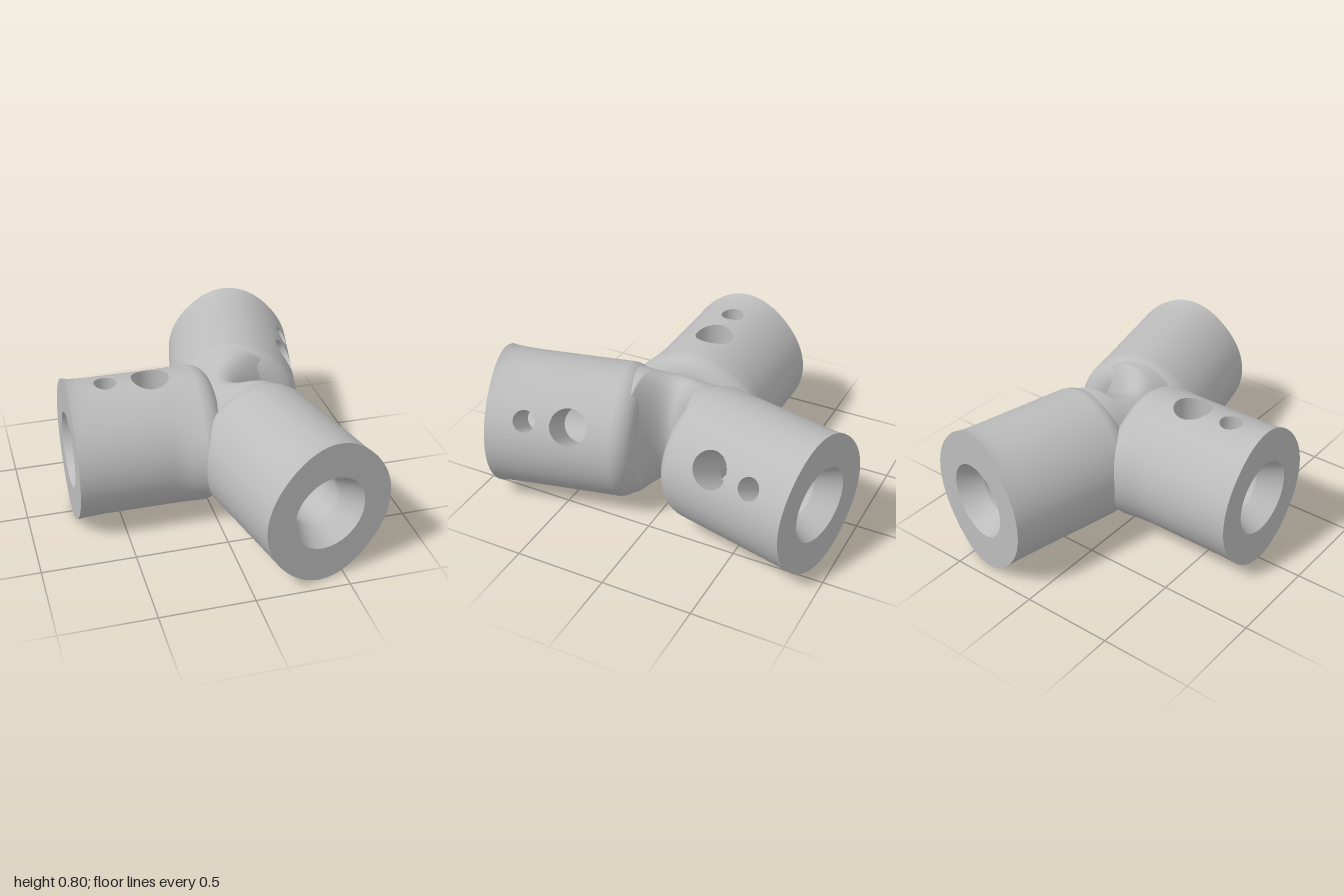
import * as THREE from 'three';
import { mergeGeometries, toCreasedNormals } from 'three/addons/utils/BufferGeometryUtils.js';
import { ParametricGeometry } from 'three/addons/geometries/ParametricGeometry.js';

const LENGTH = 0.79;      // arm length
const ROUND = 0.11;       // rounding of the inner end
const BAND = 0.42;        // half angle of the wall strip that holds the holes
const MID_Y = 0.39;       // height of the arm axes
const BORE = 0.14;

// Cross holes: distance from the mouth, radius, half length of the wall patch
const HOLES = [
  { name: 'smallCrossHole', at: 0.215, r: 0.06, half: 0.09 },
  { name: 'largeCrossHole', at: 0.455, r: 0.1, half: 0.15 },
];

const lerp = THREE.MathUtils.lerp;
const smooth = THREE.MathUtils.smoothstep;

function surface(fn, nu, nv) {
  return new ParametricGeometry(fn, nu, nv);
}

// Arm radius: nearly round, with a soft ridge above and below and a lip at the mouth
function radius(s, a, flare) {
  const ridge = (0.017 + 0.022 * Math.exp(-Math.max(s, 0) / 0.05)) * Math.pow(Math.sin(a), 6);
  const widen = flare * smooth(s, 0.5, 0.78) * Math.pow(Math.cos(a), 4);
  return 0.362 + ridge + widen;
}

// Local arm frame: mouth at z = 0, arm running towards -z
function polar(target, r, a, s) {
  return target.set(r * Math.cos(a), r * Math.sin(a), -s);
}

function createArm(name, material, holeAngle, flare) {
  const arm = new THREE.Group();
  arm.name = name;
  const add = (part, geometry) => {
    const mesh = new THREE.Mesh(geometry, material);
    mesh.name = part;
    arm.add(mesh);
  };
  const wall = (s, a, target) => polar(target, radius(s, a, flare), a, s);
  const straight = LENGTH - ROUND;

  // Rectangle of wall between two distances and two angles
  const strip = (s0, s1, a0, a1, ns, na) =>
    surface((u, v, t) => wall(lerp(s0, s1, u), lerp(a0, a1, v), t), ns, na);

  const [small, large] = HOLES;
  const lo = holeAngle - BAND, hi = holeAngle + BAND;
  const pieces = [
    strip(0, straight, hi, lo + Math.PI * 2, 24, 60),
    strip(0, small.at - small.half, lo, hi, 6, 16),
    strip(large.at + large.half, straight, lo, hi, 4, 16),
  ];

  // Wall patch around each hole: a circle spreading out to a rectangle
  for (const h of HOLES) {
    const spread = r => Math.asin(r / 0.365);
    pieces.push(surface((u, v, t) => {
      const c = Math.cos(v * Math.PI * 2), d = Math.sin(v * Math.PI * 2);
      const m = Math.max(Math.abs(c), Math.abs(d));
      const s = lerp(h.r * c, h.half * c / m, u);
      const a = lerp(spread(h.r * d), BAND * d / m, u);
      wall(h.at + s, holeAngle + a, t);
    }, 8, 64));
  }

  // Rounded inner end and its flat cap
  const endRadius = (a, turn) => radius(straight, a, flare) - ROUND * (1 - Math.cos(turn));
  pieces.push(surface((u, v, t) => {
    const turn = u * Math.PI / 2, a = v * Math.PI * 2;
    polar(t, endRadius(a, turn), a, straight + ROUND * Math.sin(turn));
  }, 10, 72));
  pieces.push(surface((u, v, t) => {
    const a = v * Math.PI * 2;
    polar(t, endRadius(a, Math.PI / 2) * (1 - 0.999 * u), a, LENGTH);
  }, 4, 72));
  add('armWall', mergeGeometries(pieces));

  // Flat ring around the mouth
  add('mouthFace', surface((u, v, t) => {
    const a = v * Math.PI * 2;
    polar(t, lerp(0.205, radius(0, a, flare), u), a, 0);
  }, 2, 72));

  // Countersunk bore, facing inwards
  const profile = [[0.205, 0], [BORE, -0.13], [BORE, -0.62], [0.001, -0.62]];
  const bore = new THREE.LatheGeometry(profile.map(p => new THREE.Vector2(...p)), 48);
  bore.rotateX(Math.PI / 2);
  add('bore', toCreasedNormals(bore, 0.4));

  // Straight tubes joining the wall to the bore
  const normal = new THREE.Vector2(Math.cos(holeAngle), Math.sin(holeAngle));
  for (const h of HOLES) {
    const floor = Math.sqrt(BORE * BORE - h.r * h.r);
    add(h.name, surface((u, v, t) => {
      const s = h.at + h.r * Math.cos(v * Math.PI * 2);
      const side = h.r * Math.sin(v * Math.PI * 2);
      const a = holeAngle + Math.asin(side / 0.365);
      const top = radius(s, a, flare);
      // outer rim lies on the wall, inner rim at the bore
      const depth = lerp(floor, top * Math.cos(a - holeAngle), u);
      const across = lerp(side, top * Math.sin(a - holeAngle), u);
      t.set(normal.x * depth - normal.y * across, normal.y * depth + normal.x * across, -s);
    }, 4, 64));
  }
  return arm;
}

// Saddle-shaped neck that joins the three inner ends
function createHub(material) {
  const geometry = surface((u, v, t) => {
    const z = lerp(0.24, -0.24, u), a = v * Math.PI * 2;
    const q = Math.min(Math.abs(z) / 0.14, 1.1) ** 2;
    const back = -0.06, front = 0.25 + 0.22 * q;
    const half = (front - back) / 2;
    t.set(back + half + half * Math.cos(a), MID_Y + (0.31 + 0.045 * q) * Math.sin(a), z);
  }, 48, 64);
  const hub = new THREE.Mesh(geometry, material);
  hub.name = 'hub';
  return hub;
}

export function createModel() {
  const model = new THREE.Group();
  model.name = 'threeWayConnector';
  const grey = new THREE.MeshStandardMaterial({ color: 0xbcbcbc });
  grey.name = 'grey';

  // Side arm, with its holes on top
  const sideArm = createArm('sideArm', grey, Math.PI / 2, 0.07);
  sideArm.position.set(-0.75, MID_Y, 0);
  sideArm.rotation.y = -Math.PI / 2;

  // Front and back arms, splayed outwards with holes on the outer side
  const splay = 0.225;
  const frontArm = createArm('frontArm', grey, Math.PI / 6, 0);
  frontArm.position.set(0.4, MID_Y, 0.92);
  frontArm.rotation.y = splay;

  const backArm = createArm('backArm', grey, Math.PI * 5 / 6, 0);
  backArm.position.set(0.4, MID_Y, -0.92);
  backArm.rotation.y = Math.PI - splay;

  model.add(sideArm, frontArm, backArm, createHub(grey));
  return model;
}
